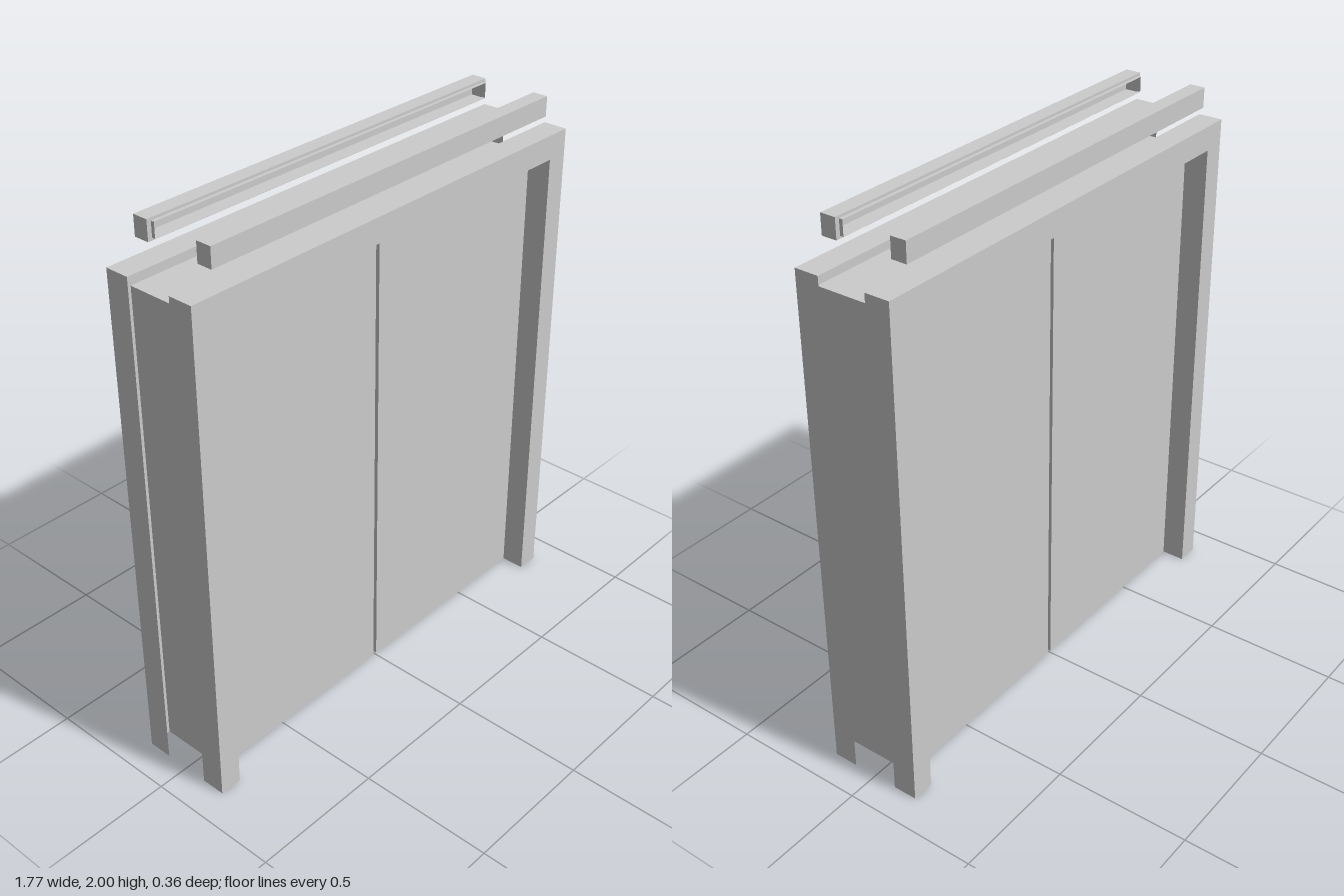
import * as THREE from 'three';

const material = new THREE.MeshStandardMaterial({ color: 0xcccccc, side: THREE.DoubleSide });

function addMesh(parent, name, geometry) {
  const mesh = new THREE.Mesh(geometry, material);
  mesh.name = name;
  parent.add(mesh);
  return mesh;
}

const toShape = (points) => new THREE.Shape(points.map(([x, y]) => new THREE.Vector2(x, y)));

const rectangle = (w, y0, y1) => [[-w, y0], [w, y0], [w, y1], [-w, y1]];

// Thin walls swept along z from a counter-clockwise outline, leaving out the listed sides
function walls(points, z0, z1, skip = []) {
  const pos = [];
  points.forEach(([ax, ay], i) => {
    if (skip.includes(i)) return;
    const [bx, by] = points[(i + 1) % points.length];
    pos.push(ax, ay, z0, bx, by, z0, bx, by, z1, ax, ay, z0, bx, by, z1, ax, ay, z1);
  });
  const g = new THREE.BufferGeometry();
  g.setAttribute('position', new THREE.Float32BufferAttribute(pos, 3));
  g.computeVertexNormals();
  return g;
}

// Flat face at depth z, optionally with a hole
function face(points, z, hole) {
  const shape = toShape(points);
  if (hole) shape.holes.push(toShape(hole));
  return new THREE.ShapeGeometry(shape).translate(0, 0, z);
}

// Door surround: a hollow casing, open towards the doors and at the floor
function createFrame() {
  const W = 0.883, I = 0.8, H = 1.77, T = 1.86;
  const outline = [[-W, 0], [-I, 0], [-I, H], [I, H], [I, 0], [W, 0], [W, T], [-W, T]];
  const frame = new THREE.Group();
  addMesh(frame, 'frameFace', face(outline, 0.178));
  addMesh(frame, 'frameReturns', walls(outline, 0.088, 0.178, [0, 4]));
  return frame;
}

// Floating header bar: hollow, with a narrower lip around its open inner side
function createHeader() {
  const outer = rectangle(0.783, 1.928, 2);
  const lip = rectangle(0.767, 1.937, 1.991);
  const header = new THREE.Group();
  addMesh(header, 'headerFace', face(outer, 0.16));
  addMesh(header, 'headerSides', walls(outer, 0.103, 0.16));
  addMesh(header, 'headerRim', face(outer, 0.103, lip));
  addMesh(header, 'headerLip', walls(lip, 0.09, 0.103));
  return header;
}

// Pair of door leaves: hollow below, with a deep centre groove on both faces
function createDoors() {
  const w = 0.8, d = 0.088, g = 0.008, f = 0.018, h = 1.77;
  const section = [
    [-w, -d], [-g, -d], [-g, -f], [g, -f], [g, -d], [w, -d],
    [w, d], [g, d], [g, f], [-g, f], [-g, d], [-w, d],
  ];
  const doors = new THREE.Group();
  addMesh(doors, 'doorLeaves', walls(section, 0, h).rotateX(-Math.PI / 2));
  addMesh(doors, 'doorTop', face(rectangle(w, -d, d), h).rotateX(-Math.PI / 2));
  return doors;
}

export function createModel() {
  const model = new THREE.Group();
  model.name = 'doubleDoorway';

  const doors = createDoors();
  doors.name = 'doors';
  model.add(doors);

  // Matching frame and header on the front and back
  ['front', 'back'].forEach((side, i) => {
    const frame = createFrame();
    const header = createHeader();
    frame.name = side + 'Frame';
    header.name = side + 'Header';
    frame.rotation.y = header.rotation.y = i * Math.PI;
    model.add(frame, header);
  });

  return model;
}
